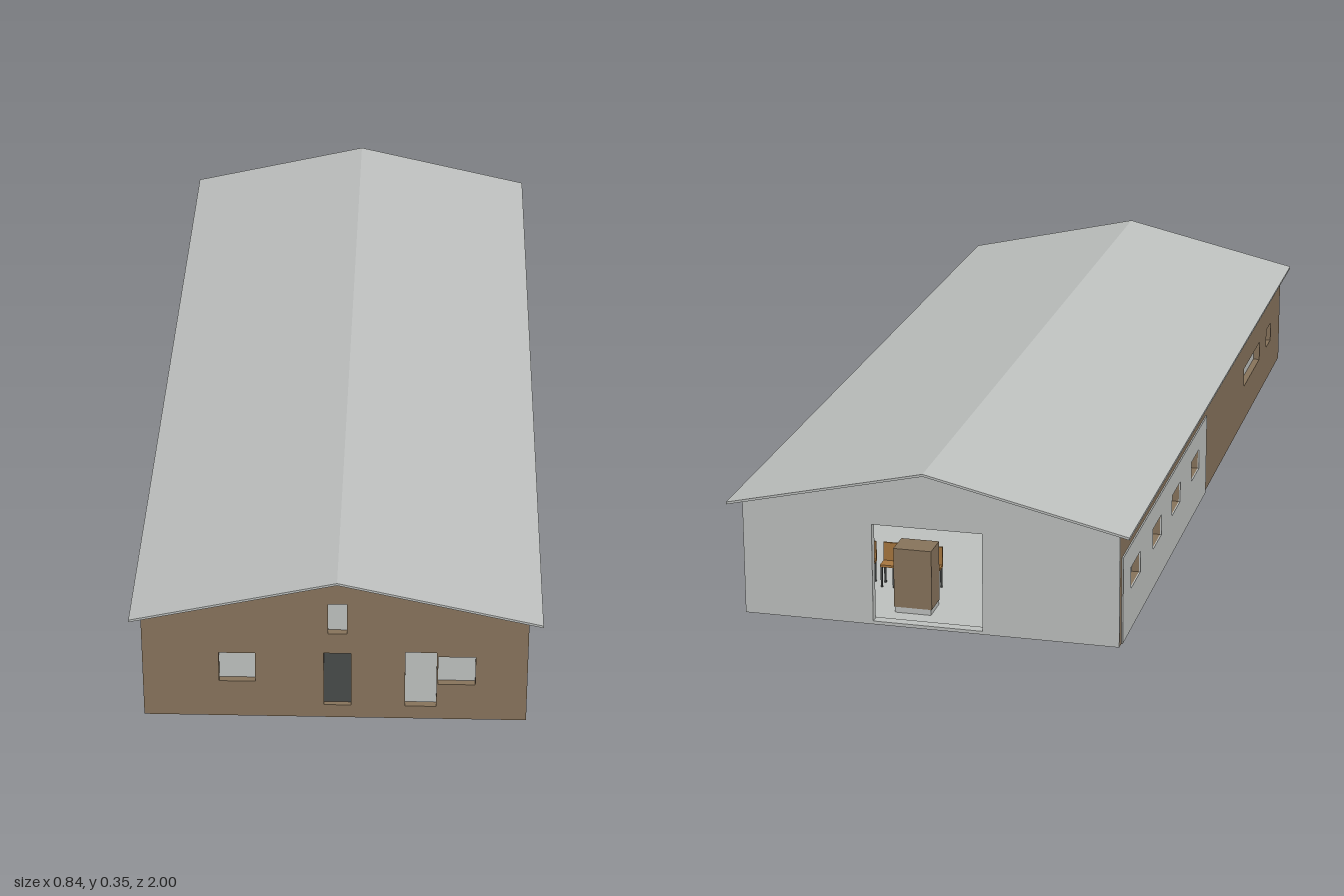
import * as THREE from 'three';

const mat = (name, color) => {
  const m = new THREE.MeshStandardMaterial({ color });
  m.name = name;
  return m;
};

export function createModel() {
  const group = new THREE.Group();
  const brown = mat('brown cladding', 0x88745c);
  const grey = mat('light grey', 0xbfc2c0);
  const dark = mat('dark grey', 0x484b4a);
  const wood = mat('orange wood', 0xa87840);

  const add = (name, geometry, material) => {
    const mesh = new THREE.Mesh(geometry, material);
    mesh.name = name;
    group.add(mesh);
    return mesh;
  };
  // box given by its minimum and maximum on each axis
  const box = (name, material, x0, x1, y0, y1, z0, z1) =>
    add(name, new THREE.BoxGeometry(x1 - x0, y1 - y0, z1 - z0)
      .translate((x0 + x1) / 2, (y0 + y1) / 2, (z0 + z1) / 2), material);
  // outline with rectangular holes [u0, u1, y0, y1], extruded to a plate
  const plate = (points, holes, depth) => {
    const shape = new THREE.Shape(points.map(p => new THREE.Vector2(...p)));
    for (const [a, b, c, d] of holes) {
      shape.holes.push(new THREE.Path([[a, c], [a, d], [b, d], [b, c]].map(p => new THREE.Vector2(...p))));
    }
    return new THREE.ExtrudeGeometry(shape, { depth, bevelEnabled: false });
  };
  const rect = (u0, u1, y0, y1) => [[u0, y0], [u1, y0], [u1, y1], [u0, y1]];
  // plate standing along z, with its outer or inner face ending at x
  const sidePlate = (name, material, points, holes, x, depth) =>
    add(name, plate(points, holes, depth).rotateY(-Math.PI / 2).translate(x, 0, 0), material);

  const L = -0.395, R = 0.39, T = 0.015;
  const base = 0.005, eave = 0.249, peak = 0.341, mid = 0.003;
  const gable = (inset, y0) => [[L + inset, y0], [R - inset, y0], [R - inset, eave + inset * 0.2],
    [mid, peak], [L + inset, eave + inset * 0.2]];

  // roof: thin chevron running the full length
  add('roof', plate([[-0.418, 0.244], [mid, 0.341], [0.418, 0.246], [0.418, 0.251],
    [mid, 0.346], [-0.418, 0.249]], [], 2).translate(0, 0, -1), grey);

  // front wall with windows and doors
  const frontDoor = [-0.025, 0.031, 0.036, 0.165];
  add('frontWall', plate(gable(0, base), [
    [-0.239, -0.165, 0.092, 0.162], frontDoor, [-0.016, 0.022, 0.213, 0.285],
    [0.141, 0.205, 0.036, 0.17], [0.208, 0.284, 0.092, 0.16],
  ], T).translate(0, 0, 0.97), brown);
  add('frontLining', plate(gable(T, 0.036), [], 0.005).translate(0, 0, 0.964), grey);
  box('frontDoor', dark, ...frontDoor, 0.97, 0.974);

  // side walls with high strip windows
  const wy = [0.095, 0.141];
  const backWindows = [[-0.885, -0.793], [-0.665, -0.575], [-0.46, -0.37], [-0.24, -0.15]]
    .map(w => [...w, ...wy]);
  const frontWindows = [[0.453, 0.677, ...wy], [0.78, 0.845, ...wy]];
  const outline = rect(-0.976, 0.97, base, eave);
  sidePlate('leftWall', brown, outline, backWindows, R, T);
  sidePlate('rightWall', brown, outline, [...backWindows, ...frontWindows], L + T, T);
  sidePlate('rightWallPanel', grey, rect(-0.96, -0.06, base, 0.19), backWindows, L, 0.003);

  // inner linings, which also close the window openings
  for (const [z0, z1, y0] of [[-0.976, -0.06, base], [-0.06, 0.964, 0.036]]) {
    box('leftLining', grey, R - T - 0.006, R - T, y0, eave, z0, z1);
    box('rightLining', grey, L + T, L + T + 0.006, y0, eave, z0, z1);
  }

  // back wall with the wide hall opening and its frame
  add('backWall', plate(gable(0, base), [[-0.113, 0.117, 0.012, 0.222]], 0.004)
    .translate(0, 0, -0.98), grey);
  box('openingJamb', grey, -0.119, -0.113, 0.012, 0.228, -0.976, -0.962);
  box('openingJamb', grey, 0.117, 0.123, 0.012, 0.228, -0.976, -0.962);
  box('openingHead', grey, -0.119, 0.123, 0.222, 0.228, -0.976, -0.962);
  box('openingSill', grey, -0.119, 0.123, base, 0.012, -0.976, -0.958);

  // floor slabs and partition
  box('hallFloor', grey, -0.384, 0.368, 0, 0.01, -0.962, -0.06);
  box('middleFloor', grey, -0.38, 0.36, 0.03, 0.036, -0.06, 0.398);
  box('frontFloor', grey, -0.38, 0.375, 0.03, 0.036, 0.4, 0.97);
  add('partition', plate(gable(T, 0.01), [], 0.01).translate(0, 0, -0.07), grey);

  // counter just inside the opening
  box('counterBase', grey, 0.012, 0.088, 0.01, 0.022, -0.92, -0.86);
  box('counter', brown, 0.01, 0.09, 0.022, 0.15, -0.92, -0.86);

  // row of chairs behind the counter
  for (let i = 0; i < 4; i++) {
    const x = 0.045 + i * 0.048, z = -0.78;
    for (const sx of [-1, 1]) for (const sz of [-1, 1]) {
      const cx = x + sx * 0.013, cz = z + sz * 0.013;
      box('chairLeg', dark, cx - 0.002, cx + 0.002, 0.01, 0.055, cz - 0.002, cz + 0.002);
    }
    box('chairSeat', wood, x - 0.016, x + 0.016, 0.055, 0.06, z - 0.016, z + 0.016);
    box('chairBack', wood, x - 0.016, x + 0.016, 0.06, 0.1, z + 0.012, z + 0.016);
  }
  return group;
}
